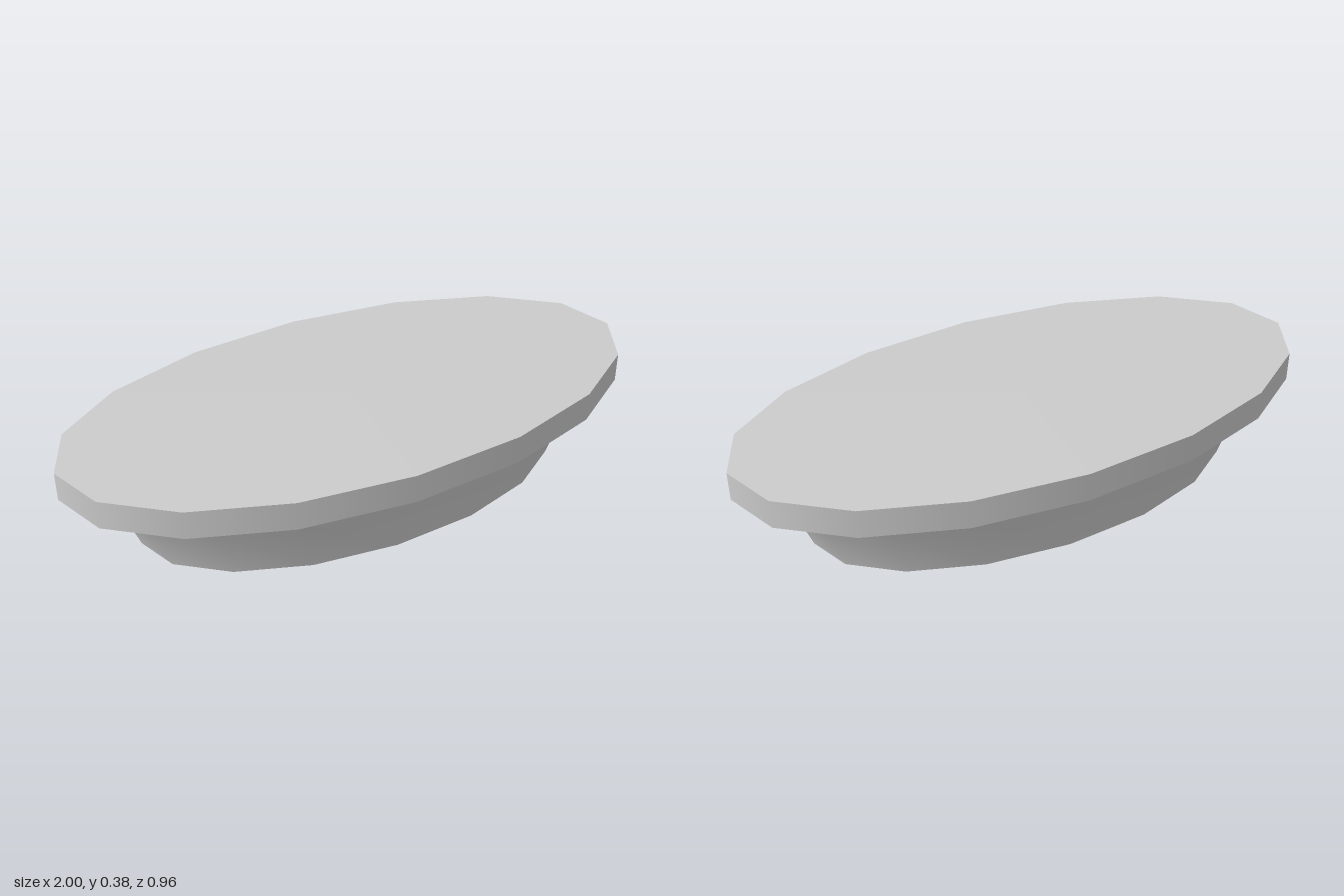
import * as THREE from 'three';

const SIDES = 16;
const DEPTH = 0.48; // depth of the oval relative to its width

export function createModel() {
  const model = new THREE.Group();
  const material = new THREE.MeshStandardMaterial({ color: 0xcccccc });

  // Squash a round geometry into the oval and name it
  const addOval = (geometry, name, y = 0, parent = model) => {
    geometry.scale(1, 1, DEPTH);
    geometry.normalizeNormals();
    const mesh = new THREE.Mesh(geometry, material);
    mesh.name = name;
    mesh.position.y = y;
    parent.add(mesh);
  };

  // Flat oval slab on top
  addOval(new THREE.CylinderGeometry(1, 1, 0.104, SIDES), 'topSlab', 0.323);

  // Flared base: smooth wall with flat, sharp-edged ends
  const base = new THREE.Group();
  base.name = 'base';
  model.add(base);
  const profile = [[0.755, 0], [0.825, 0.19], [0.912, 0.266]];
  const points = profile.map(([r, y]) => new THREE.Vector2(r, y));
  addOval(new THREE.LatheGeometry(points, SIDES), 'baseWall', 0, base);
  addOval(new THREE.CircleGeometry(0.755, SIDES).rotateX(Math.PI / 2), 'baseBottom', 0, base);
  addOval(new THREE.CircleGeometry(0.912, SIDES).rotateX(-Math.PI / 2), 'baseTop', 0.266, base);

  return model;
}
